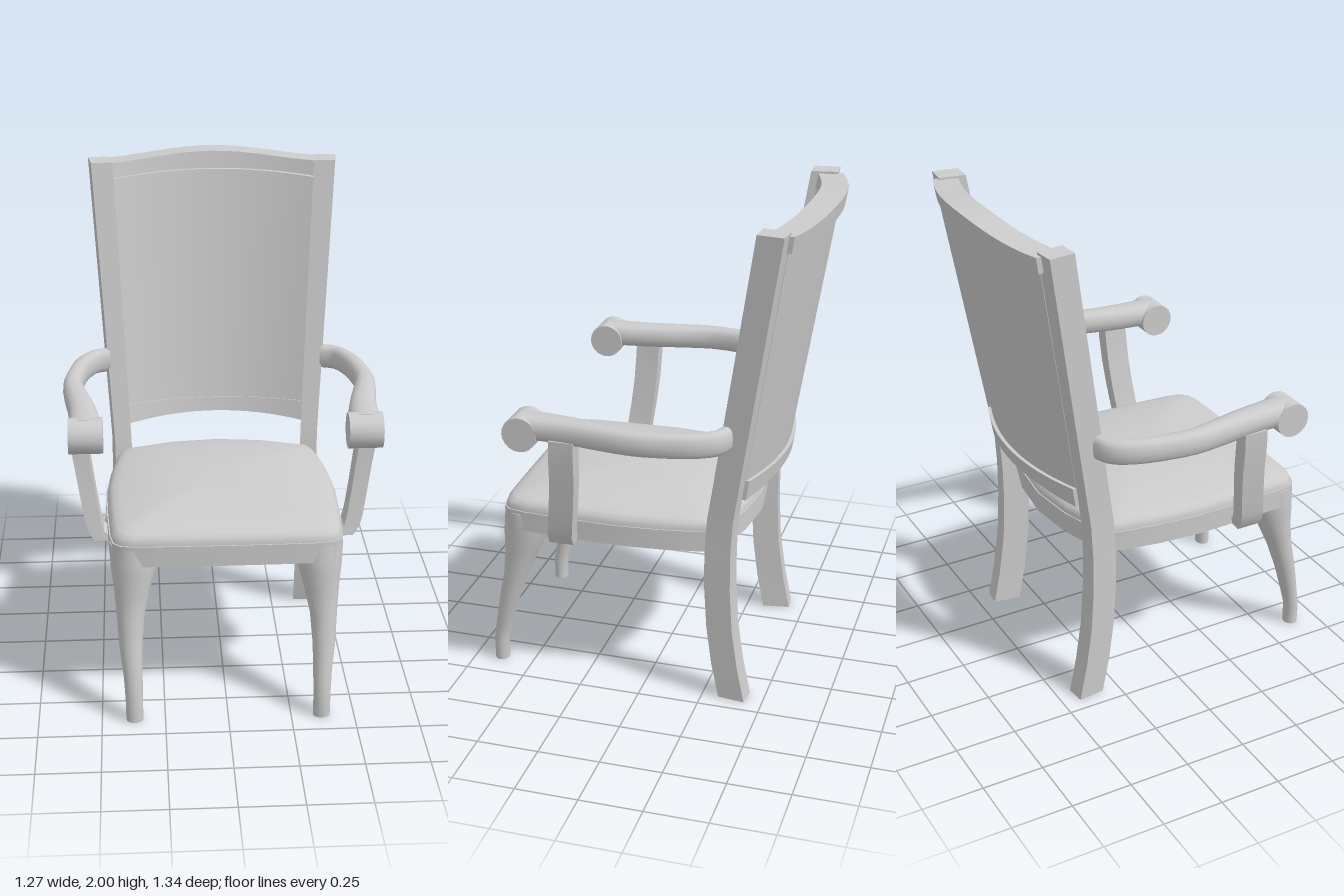
import * as THREE from 'three';
import { toCreasedNormals } from 'three/addons/utils/BufferGeometryUtils.js';

const material = new THREE.MeshStandardMaterial({ color: 0xcccccc, side: THREE.DoubleSide });

function addPart(parent, name, geometry, crease = 0.7) {
  const mesh = new THREE.Mesh(toCreasedNormals(geometry, crease), material);
  mesh.name = name;
  parent.add(mesh);
  return mesh;
}

// Closed skin through rings of equal point counts, capped at both ends and turned outward
function loft(rings) {
  const n = rings[0].length;
  const tris = [];
  const centre = (ring) => ring.reduce((a, p) => a.add(p), new THREE.Vector3()).divideScalar(n);
  const first = centre(rings[0]);
  const last = centre(rings[rings.length - 1]);
  for (let j = 0; j < n; j++) {
    const k = (j + 1) % n;
    for (let i = 0; i < rings.length - 1; i++) {
      const [a, b, c, d] = [rings[i][j], rings[i][k], rings[i + 1][k], rings[i + 1][j]];
      tris.push([a, b, c], [a, c, d]);
    }
    tris.push([first, rings[0][k], rings[0][j]]);
    tris.push([last, rings[rings.length - 1][j], rings[rings.length - 1][k]]);
  }
  const cross = new THREE.Vector3();
  const volume = tris.reduce((v, [a, b, c]) => v + a.dot(cross.crossVectors(b, c)), 0);
  if (volume < 0) tris.forEach((t) => t.reverse());
  return new THREE.BufferGeometry().setFromPoints(tris.flat());
}

// Bowed, raked front surface shared by everything in the backrest
const backFront = (x, y) => {
  const w = 0.45 + 0.0625 * (y - 0.88);
  return -0.28 - 0.161 * (y - 0.88) - 0.105 * (1 - (x / w) ** 2);
};

// Slab bent to the backrest; bottom and top edges are functions of u in -1..1
function bentSlab({ bottom, top, inset, depth, spread = 0 }) {
  const geometry = new THREE.BoxGeometry(2, 1, 1, 16, 4, 1);
  const pos = geometry.attributes.position;
  for (let i = 0; i < pos.count; i++) {
    const u = pos.getX(i);
    const y = THREE.MathUtils.lerp(bottom(u), top(u), pos.getY(i) + 0.5);
    const x = u * (0.385 + spread + 0.05 * (y - 0.88));
    const front = pos.getZ(i) > 0;
    pos.setXYZ(i, x, y, backFront(x, y) - (front ? inset : depth));
  }
  return geometry;
}

function makeBack() {
  const back = new THREE.Group();
  back.name = 'backrest';
  addPart(back, 'backPanel', bentSlab({
    bottom: () => 0.94, top: (u) => 1.925 - 0.025 * u * u, inset: 0.004, depth: 0.085,
  }));
  addPart(back, 'lowerBackRail', bentSlab({
    bottom: (u) => 0.9 - 0.025 * u * u, top: () => 0.96, inset: 0, depth: 0.1,
  }));
  addPart(back, 'crestRail', bentSlab({
    bottom: (u) => 1.93 - 0.025 * u * u,
    top: (u) => 1.985 + 0.015 * Math.cos(u * Math.PI),
    inset: 0, depth: 0.108, spread: 0.02,
  }));
  return back;
}

function makeSeat() {
  // Half outline from the front middle round to the back middle
  const half = [[0, 0.598], [0.2, 0.597], [0.37, 0.593], [0.415, 0.582], [0.442, 0.555], [0.455, 0.49],
    [0.465, 0.3], [0.47, 0.1], [0.455, -0.08], [0.432, -0.22], [0.41, -0.295], [0.2, -0.362], [0, -0.385]];
  const outline = [...half, ...half.slice(1, -1).reverse().map(([x, z]) => [-x, z])];
  const ring = (y, s) => outline.map(([x, z]) => new THREE.Vector3(x * s, y, 0.1 + (z - 0.1) * s));
  const seat = new THREE.Group();
  seat.name = 'seat';
  addPart(seat, 'seatFrame', loft([ring(0.65, 1), ring(0.735, 1)]));
  addPart(seat, 'seatCushion', loft([
    ring(0.72, 0.99), ring(0.745, 0.99), ring(0.765, 0.975), ring(0.778, 0.94), ring(0.786, 0.88),
    ring(0.803, 0.7), ring(0.817, 0.45), ring(0.825, 0.2),
  ]), 0.9);
  return seat;
}

// Rear leg and back post in one piece: y, front z, back z, inner x, outer x
function makeRearPost(side) {
  const rows = [
    [0, -0.318, -0.428, 0.35, 0.445], [0.15, -0.288, -0.398, 0.35, 0.445],
    [0.32, -0.266, -0.374, 0.35, 0.445], [0.5, -0.256, -0.364, 0.352, 0.446],
    [0.66, -0.256, -0.364, 0.356, 0.446], [0.8, -0.266, -0.372, 0.362, 0.446],
    [0.9, -0.283, -0.388, 0.366, 0.452], [1.98, -0.457, -0.562, 0.418, 0.52],
  ];
  return loft(rows.map(([y, zf, zb, xi, xo]) => [
    [xi, zf - 0.005], [xo - 0.014, zf], [xo, zb], [xi + 0.016, zb - 0.008],
  ].map(([x, z]) => new THREE.Vector3(side * x, y, z))));
}

// Curved front leg: y, centre x, centre z, radius x, radius z
function makeFrontLeg(side) {
  const rows = [
    [0, 0.371, 0.638, 0.034, 0.03], [0.09, 0.372, 0.638, 0.034, 0.031],
    [0.18, 0.374, 0.619, 0.037, 0.036], [0.3, 0.38, 0.59, 0.045, 0.043],
    [0.42, 0.379, 0.557, 0.054, 0.052], [0.53, 0.371, 0.53, 0.071, 0.071],
    [0.61, 0.365, 0.513, 0.087, 0.09], [0.66, 0.363, 0.505, 0.092, 0.095],
    [0.72, 0.367, 0.505, 0.088, 0.088],
  ];
  return loft(rows.map(([y, cx, cz, rx, rz]) => Array.from({ length: 16 }, (_, i) => {
    const a = (i / 16) * Math.PI * 2;
    return new THREE.Vector3(side * (cx + rx * Math.cos(a)), y, cz + rz * Math.sin(a));
  })));
}

// Armrest swept along a bowed path with a softly squared section
function makeArmRail(side) {
  const path = new THREE.CatmullRomCurve3([
    [0.455, -0.345], [0.51, -0.322], [0.557, -0.24], [0.584, -0.12], [0.594, -0.01],
    [0.579, 0.1], [0.557, 0.22], [0.543, 0.34], [0.537, 0.45],
  ].map(([x, z]) => new THREE.Vector3(x, 1.159, z)));
  const rings = [];
  for (let i = 0; i <= 24; i++) {
    const t = i / 24;
    const p = path.getPoint(t);
    const dir = path.getTangent(t);
    const halfWidth = t < 0.5 ? THREE.MathUtils.lerp(0.03, 0.04, t * 2) : THREE.MathUtils.lerp(0.04, 0.066, t * 2 - 1);
    rings.push(Array.from({ length: 14 }, (_, k) => {
      const a = (k / 14) * Math.PI * 2;
      const soft = (v) => Math.sign(v) * Math.abs(v) ** 0.75;
      const w = soft(Math.cos(a)) * halfWidth;
      return new THREE.Vector3(side * (p.x + dir.z * w), p.y + soft(Math.sin(a)) * 0.05, p.z - dir.x * w);
    }));
  }
  return loft(rings);
}

// Arm support curving in to the seat side: centre x, centre y, half width, middle z
function makeArmSupport(side) {
  const rows = [
    [0.574, 1.13, 0.033, 0.267], [0.57, 1.06, 0.033, 0.27], [0.554, 0.95, 0.032, 0.275],
    [0.538, 0.84, 0.031, 0.286], [0.52, 0.73, 0.031, 0.3], [0.509, 0.69, 0.031, 0.305],
  ];
  const rings = rows.map(([x, y, w, z]) => [[-w, -0.05], [w, -0.05], [w, 0.05], [-w, 0.05]]
    .map(([dx, dz]) => new THREE.Vector3(side * (x + dx), y, z + dz)));
  // Foot turning toward the seat frame
  rings.push([[0.455, 0.672], [0.515, 0.65], [0.515, 0.65], [0.455, 0.672]]
    .map(([x, y], i) => new THREE.Vector3(side * x, y, i < 2 ? 0.258 : 0.358)));
  rings.push([[0.44, 0.672], [0.44, 0.65], [0.44, 0.65], [0.44, 0.672]]
    .map(([x, y], i) => new THREE.Vector3(side * x, y, i < 2 ? 0.26 : 0.36)));
  return loft(rings);
}

export function createModel() {
  const chair = new THREE.Group();
  chair.name = 'armchair';
  chair.add(makeSeat(), makeBack());
  for (const [side, label] of [[1, 'left'], [-1, 'right']]) {
    addPart(chair, `${label}RearPost`, makeRearPost(side), 0.35);
    addPart(chair, `${label}FrontLeg`, makeFrontLeg(side));
    addPart(chair, `${label}ArmRail`, makeArmRail(side), 0.9);
    addPart(chair, `${label}ArmSupport`, makeArmSupport(side), 0.5);
    // Rolled hand grip at the front of the arm
    const grip = addPart(chair, `${label}ArmGrip`, new THREE.CylinderGeometry(0.07, 0.07, 0.132, 20));
    grip.rotation.z = Math.PI / 2;
    grip.position.set(side * 0.536, 1.138, 0.438);
  }
  return chair;
}
